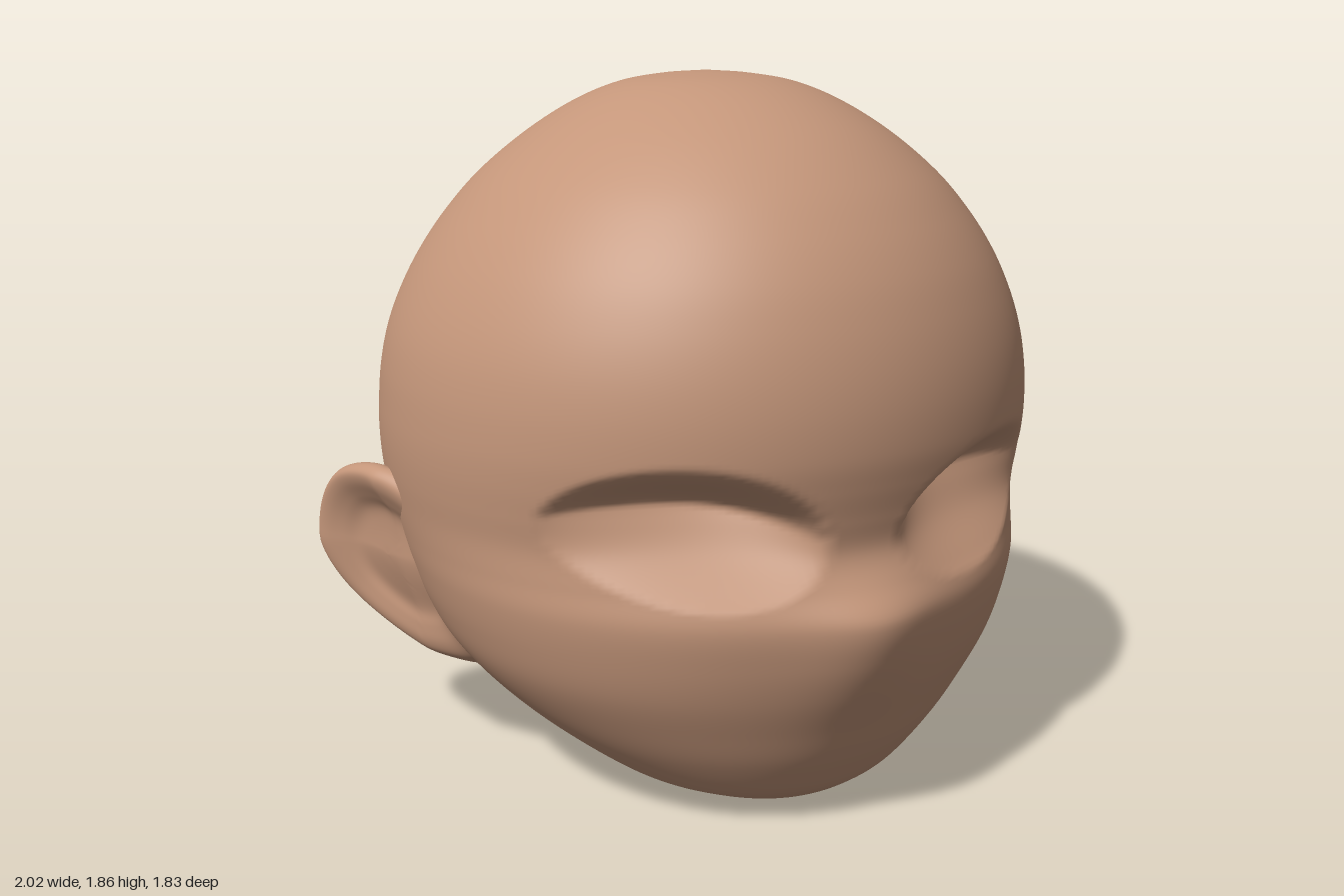
import * as THREE from 'three';

const skin = new THREE.MeshStandardMaterial({ color: 0xc4967a });
skin.name = 'skin';

// Smooth closed surface: rows run from start to end, columns wrap around
function loft(rows, cols, point, flip = false) {
  const pos = [], index = [];
  for (let i = 0; i <= rows; i++)
    for (let j = 0; j < cols; j++) pos.push(...point(i / rows, j / cols));
  for (let i = 0; i < rows; i++)
    for (let j = 0; j < cols; j++) {
      const k = (j + 1) % cols;
      const a = i * cols + j, b = i * cols + k, c = a + cols, d = b + cols;
      if (flip) index.push(a, d, b, a, c, d);
      else index.push(a, b, d, a, d, c);
    }
  const geo = new THREE.BufferGeometry();
  geo.setAttribute('position', new THREE.Float32BufferAttribute(pos, 3));
  geo.setIndex(index);
  geo.computeVertexNormals();
  return geo;
}

const spline = (pts, closed = false) =>
  new THREE.CatmullRomCurve3(pts.map(p => new THREE.Vector3(...p)), closed, 'catmullrom', 0.5);

// Head cross-sections: height, half width, front z, back z
const SECTIONS = [
  [0, 0, 0.46, 0.46], [0.008, 0.11, 0.54, 0.34], [0.025, 0.21, 0.59, 0.21], [0.055, 0.32, 0.64, 0.05],
  [0.1, 0.43, 0.685, -0.12], [0.2, 0.575, 0.745, -0.38], [0.3, 0.685, 0.787, -0.56], [0.4, 0.765, 0.825, -0.685],
  [0.5, 0.812, 0.852, -0.772], [0.6, 0.842, 0.865, -0.83], [0.68, 0.859, 0.842, -0.862],
  [0.76, 0.873, 0.823, -0.886], [0.84, 0.884, 0.835, -0.903], [0.92, 0.889, 0.852, -0.913],
  [1.0, 0.887, 0.864, -0.916], [1.1, 0.877, 0.864, -0.908], [1.2, 0.855, 0.851, -0.885],
  [1.3, 0.817, 0.825, -0.846], [1.4, 0.764, 0.785, -0.792], [1.5, 0.694, 0.725, -0.722], [1.6, 0.604, 0.642, -0.631],
  [1.7, 0.482, 0.524, -0.508], [1.78, 0.355, 0.385, -0.372], [1.83, 0.235, 0.25, -0.24],
  [1.852, 0.115, 0.12, -0.12], [1.86, 0, 0, 0],
];

// Inward depth of an eye socket: steep under the brow, sloping out to the cheek
function socketDepth(x, y) {
  const u = (Math.abs(x) - 0.4) / 0.3;
  if (Math.abs(u) >= 1) return 0;
  const arch = Math.sqrt(1 - u * u), mid = 0.81 + 0.03 * u;
  const t = (mid + 0.19 * arch - y) / (0.35 * arch);
  if (t <= 0 || t >= 1) return 0;
  const floor = Math.min(1, (1 - t) / 0.62);
  return 0.15 * arch * arch * THREE.MathUtils.smoothstep(t, 0, 0.4) * floor;
}

function headGeometry() {
  const front = spline(SECTIONS.map(([y, w, f]) => [w, y, f]));
  const back = spline(SECTIONS.map(([y, w, , b]) => [w, y, b]));
  return loft((SECTIONS.length - 1) * 8, 240, (u, v) => {
    const f = front.getPoint(u), b = back.getPoint(u), a = v * Math.PI * 2;
    const mid = (f.z + b.z) / 2, y = f.y;
    let x = f.x * Math.sin(a), z = mid + (f.z - mid) * Math.cos(a);
    if (z > 0) {
      const s = 1 - socketDepth(x, y) / Math.max(Math.hypot(x, z), 0.1);
      // Soft muzzle ridge, short above its tip and long below
      const spread = y > 0.6 ? 0.085 : 0.24;
      const ridge = 0.05 * Math.exp(-((x / 0.17) ** 2) - ((y - 0.6) / spread) ** 2) * Math.max(0, Math.cos(a));
      x *= s;
      z = z * s + ridge;
    }
    return [x, y, z];
  });
}

// Ear outline as [0, y, z], and section from bowl, over the rim, to the root behind: [scale, offset]
const EAR_OUTLINE = spline([
  [0, 0.85, -0.15], [0, 0.81, -0.29], [0, 0.71, -0.375], [0, 0.57, -0.395], [0, 0.43, -0.335], [0, 0.335, -0.2],
  [0, 0.3, -0.05], [0, 0.33, 0.07], [0, 0.45, 0.11], [0, 0.62, 0.11], [0, 0.76, 0.07], [0, 0.83, -0.03],
], true);
const EAR_SECTION = spline([
  [0, -0.055, 0], [0.3, -0.053, 0], [0.5, -0.045, 0], [0.65, -0.02, 0], [0.8, 0.004, 0], [0.91, 0.01, 0],
  [0.98, -0.006, 0], [1, -0.03, 0], [0.96, -0.055, 0], [0.85, -0.078, 0], [0.7, -0.11, 0], [0.55, -0.16, 0],
  [0.4, -0.25, 0],
]);

function earGeometry(side) {
  return loft(60, 96, (u, v) => {
    const o = EAR_OUTLINE.getPoint(v), s = EAR_SECTION.getPoint(u);
    const y = 0.59 + (o.y - 0.59) * s.x, z = -0.16 + (o.z + 0.16) * s.x;
    // Flares outward to the rear, tucks in at the lobe and sinks into the cheek
    const plane = 0.888 - 0.3 * z - 0.9 * Math.max(0, 0.6 - y) ** 1.5 - 0.3 * Math.max(0, z + 0.1);
    return [side * (plane + s.y), y, z];
  }, side < 0);
}

export function createModel() {
  const model = new THREE.Group();
  model.name = 'head';
  const add = (name, geo) => {
    const mesh = new THREE.Mesh(geo, skin);
    mesh.name = name;
    model.add(mesh);
  };
  add('skull', headGeometry());
  add('leftEar', earGeometry(1));
  add('rightEar', earGeometry(-1));
  return model;
}
